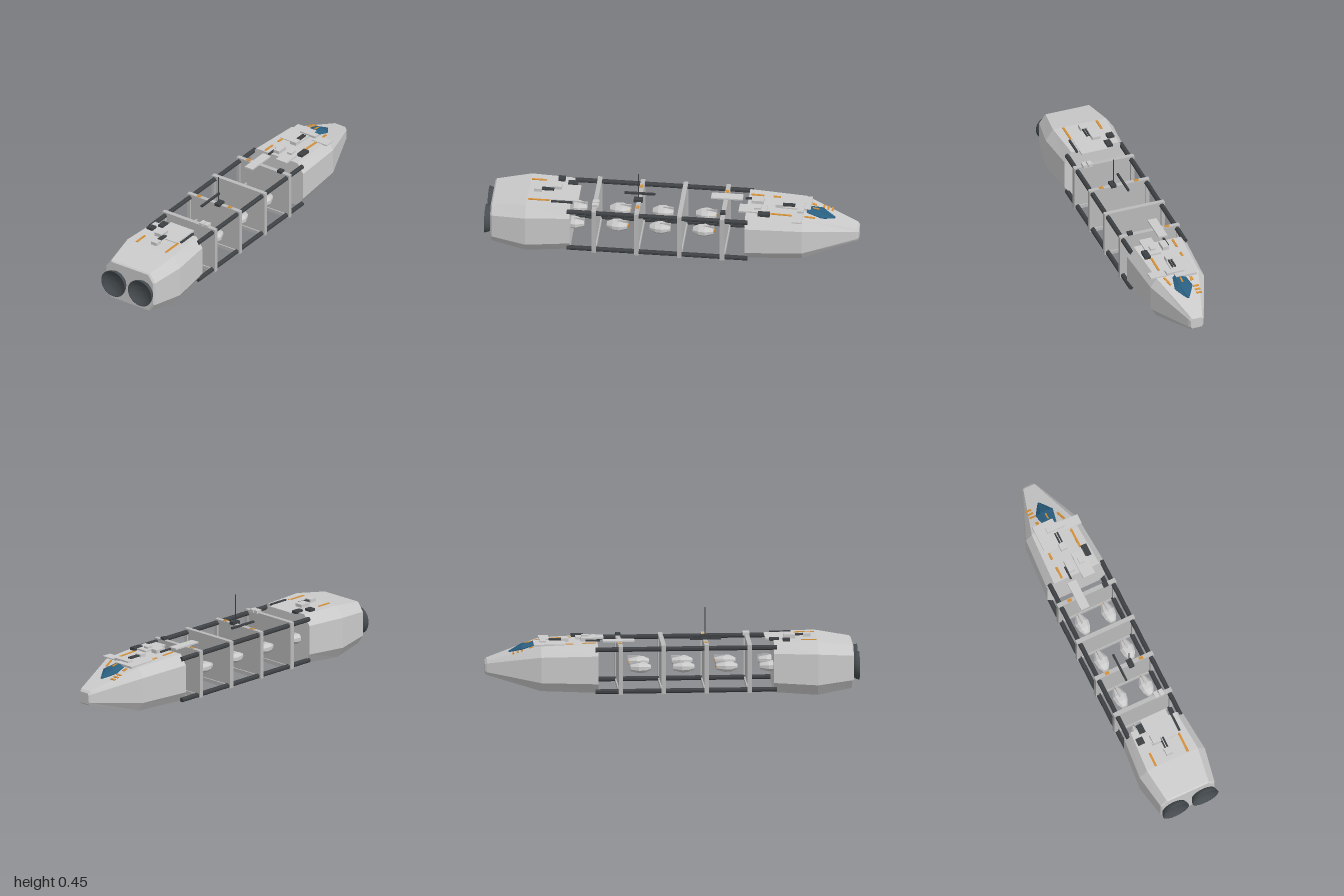
import * as THREE from 'three';

const mat = (name, color, side = THREE.FrontSide) => {
  const m = new THREE.MeshStandardMaterial({ color, flatShading: true, side });
  m.name = name;
  return m;
};

// Loft of chamfered-rectangle sections [z, halfWidth, yBottom, yTop], z increasing
function loft(sections, cx = 0.22, cy = 0.21) {
  const rings = sections.map(([z, w, y0, y1]) => {
    const a = w * (1 - cx), h = (y1 - y0) * cy;
    return [[w, y0 + h], [w, y1 - h], [a, y1], [-a, y1], [-w, y1 - h], [-w, y0 + h], [-a, y0], [a, y0]]
      .map(([x, y]) => [x, y, z]);
  });
  const pos = [];
  const tri = (...p) => p.forEach((v) => pos.push(...v));
  for (let i = 0; i < rings.length - 1; i++) {
    for (let j = 0; j < 8; j++) {
      const k = (j + 1) % 8, r = rings[i], s = rings[i + 1];
      tri(r[j], r[k], s[k]);
      tri(r[j], s[k], s[j]);
    }
  }
  const first = rings[0], last = rings[rings.length - 1];
  for (let j = 1; j < 7; j++) {
    tri(first[0], first[j + 1], first[j]);
    tri(last[0], last[j], last[j + 1]);
  }
  const g = new THREE.BufferGeometry();
  g.setAttribute('position', new THREE.Float32BufferAttribute(pos, 3));
  g.computeVertexNormals();
  return g;
}

export function createModel() {
  const root = new THREE.Group();
  root.name = 'cargoSpaceship';
  const hull = mat('hullGrey', 0xcbcbcb);
  const frame = mat('frameGrey', 0xb9bab9);
  const dark = mat('darkMetal', 0x3e4144);
  const orange = mat('orangePaint', 0xd58f35);
  const glass = mat('canopyBlue', 0x2a5f80);
  const bell = mat('engineDark', 0x474d51, THREE.DoubleSide);
  bell.flatShading = false;

  const add = (name, geo, m, x = 0, y = 0, z = 0, parent = root) => {
    const mesh = new THREE.Mesh(geo, m);
    mesh.name = name;
    mesh.position.set(x, y, z);
    parent.add(mesh);
    return mesh;
  };
  // Box given by its x, y and z ranges
  const span = (name, m, x0, x1, y0, y1, z0, z1, parent = root) =>
    add(name, new THREE.BoxGeometry(x1 - x0, y1 - y0, z1 - z0), m,
      (x0 + x1) / 2, (y0 + y1) / 2, (z0 + z1) / 2, parent);

  // Hull sections
  add('bowHull', loft([
    [-1, 0.035, 0.118, 0.178], [-0.988, 0.043, 0.108, 0.19],
    [-0.705, 0.153, 0.035, 0.275], [-0.4, 0.172, 0.024, 0.286],
  ]), hull);
  add('sternHull', loft([
    [0.54, 0.173, 0.015, 0.29], [0.775, 0.193, 0, 0.29],
    [0.96, 0.16, 0.03, 0.262], [0.968, 0.152, 0.036, 0.255],
  ]), hull);

  // Engine bells, open to the rear with a shallow bowl inside
  const bellProfile = [[0.056, 0], [0.066, 0.005], [0.074, 0.02], [0.077, 0.034], [0.074, 0.034],
    [0.062, 0.024], [0.045, 0.015], [0.025, 0.009], [0, 0.007]].map(([r, h]) => new THREE.Vector2(r, h));
  const bellGeo = new THREE.LatheGeometry(bellProfile, 40);
  bellGeo.rotateX(Math.PI / 2);
  for (const s of [-1, 1]) add('engineBell', bellGeo, bell, s * 0.087, 0.145, 0.966);

  // Long dark truss beams
  const beamGeo = new THREE.CylinderGeometry(0.013, 0.013, 0.97, 8);
  beamGeo.rotateY(Math.PI / 8);
  beamGeo.rotateX(Math.PI / 2);
  for (const x of [-0.154, 0.154]) {
    for (const y of [0.264, 0.035]) add('trussBeam', beamGeo, dark, x, y, 0.07);
  }

  // Cross frames, each closed by a bulkhead
  for (const z of [0.41, 0.18, -0.05, -0.28]) {
    const g = new THREE.Group();
    g.name = 'crossFrame';
    g.position.z = z;
    root.add(g);
    span('bulkhead', frame, -0.15, 0.15, 0.03, 0.27, -0.005, 0.005, g);
    for (const y of [0.274, 0.029]) span('crossBar', frame, -0.166, 0.166, y - 0.01, y + 0.01, -0.012, 0.012, g);
    for (const s of [-1, 1]) {
      span('framePost', frame, s * 0.162 - 0.01, s * 0.162 + 0.01, 0.022, 0.283, -0.012, 0.012, g);
    }
  }

  // Cargo pods in pairs between the bulkheads
  const podGeo = loft([
    [-0.055, 0.02, -0.016, 0.016], [-0.01, 0.038, -0.026, 0.026],
    [0.025, 0.033, -0.024, 0.024], [0.056, 0.016, -0.012, 0.012],
  ], 0.4, 0.3);
  for (const z of [0.525, 0.292, 0.062, -0.17]) {
    for (const s of [-1, 1]) {
      add('cargoPod', podGeo, hull, s * 0.077, 0.147, z);
      span('podSpine', frame, s * 0.077 - 0.004, s * 0.077 + 0.004, 0.14, 0.177, z - 0.058, z);
      if (z === 0.292 || z === -0.17) {
        span('podLamp', orange, s * 0.077 - 0.007, s * 0.077 + 0.007, 0.14, 0.154, z - 0.061, z - 0.055);
      }
    }
  }

  // Cockpit canopy with a small painted line
  add('canopy', loft([
    [-0.87, 0.006, 0.215, 0.232], [-0.8, 0.051, 0.235, 0.268], [-0.72, 0.034, 0.258, 0.284],
  ], 0.55, 0.45), glass);
  const streak = span('canopyStripe', orange, -0.004, 0.004, 0.276, 0.28, -0.785, -0.75);
  streak.rotation.x = -0.2;

  // Deck equipment: [name, material, x0, x1, y0, y1, z0, z1]
  [
    ['bowDeckPlate', hull, -0.1, 0.02, 0.272, 0.284, -0.74, -0.57],
    ['bowCrossPlate', hull, -0.04, 0.06, 0.28, 0.292, -0.706, -0.672],
    ['bowWingPlate', hull, 0.05, 0.15, 0.274, 0.281, -0.705, -0.65],
    ['bowRightPlate', hull, 0.02, 0.09, 0.284, 0.293, -0.51, -0.36],
    ['bowSmallBox', hull, 0.038, 0.066, 0.292, 0.303, -0.478, -0.44],
    ['bowBlock', hull, -0.036, 0, 0.282, 0.303, -0.485, -0.42],
    ['bowDarkBox', dark, 0.085, 0.118, 0.275, 0.297, -0.53, -0.465],
    ['bowDarkRod', dark, -0.046, -0.036, 0.285, 0.294, -0.46, -0.385],
    ['overhangPlate', hull, -0.07, -0.02, 0.285, 0.293, -0.37, -0.2],
    ['sternDeckPlate', hull, -0.06, 0.09, 0.286, 0.294, 0.5, 0.66],
    ['sternDarkBox', dark, -0.095, -0.062, 0.286, 0.3, 0.52, 0.572],
    ['sternDarkBox', dark, -0.13, -0.092, 0.288, 0.303, 0.59, 0.628],
    ['sternBlock', hull, -0.055, -0.008, 0.292, 0.311, 0.6, 0.66],
    ['sternDarkRod', dark, 0.1, 0.112, 0.286, 0.297, 0.53, 0.645],
    ['frameDarkBox', dark, 0.096, 0.124, 0.28, 0.297, -0.292, -0.265],
    ['mastBox', dark, 0.02, 0.05, 0.28, 0.297, 0.16, 0.208],
    ['frameRod', dark, -0.031, -0.02, 0.283, 0.294, 0.1, 0.265],
    ['frameBox', hull, 0.07, 0.094, 0.28, 0.297, 0.388, 0.424],
    ['frameBox', hull, 0.1, 0.124, 0.28, 0.297, 0.388, 0.424],
  ].forEach((p) => span(...p));

  // Antenna mast
  add('antenna', new THREE.CylinderGeometry(0.003, 0.003, 0.155, 8), dark, 0.028, 0.37, 0.183);

  // Twin-barrel turrets facing the bow
  for (const [y, z] of [[0.279, -0.57], [0.288, 0.725]]) {
    const t = new THREE.Group();
    t.name = 'turret';
    t.position.set(0, y, z);
    root.add(t);
    span('turretBase', hull, -0.019, 0.019, 0, 0.02, -0.02, 0.02, t);
    for (const x of [-0.007, 0.007]) span('turretBarrel', dark, x - 0.004, x + 0.004, 0.008, 0.016, -0.085, -0.02, t);
  }

  // Orange markings on the decks: [x, y, z0, z1]; bow deck height follows its slope
  const bowTop = (z) => (z > -0.705 ? 0.286 + (z + 0.4) * 0.036 : 0.275 + (z + 0.705) * 0.3);
  const stripe = (x, z0, z1, w = 0.012) => {
    const bow = z0 < 0, z = (z0 + z1) / 2;
    const m = span('deckStripe', orange, x - w / 2, x + w / 2, -0.002, 0.002, z0, z1);
    m.position.y = bow ? bowTop(z) + 0.001 : 0.291;
    m.rotation.x = bow ? (z < -0.705 ? -0.29 : -0.036) : 0;
    return m;
  };
  stripe(-0.083, -0.575, -0.53);
  stripe(-0.083, -0.48, -0.41);
  stripe(0.083, -0.645, -0.53);
  stripe(0.07, -0.77, -0.71).rotation.y = 0.3;
  stripe(-0.062, -0.765, -0.74, 0.016);
  for (const z of [-0.855, -0.832, -0.809]) stripe(-0.069, z, z + 0.011, 0.032);
  stripe(-0.095, 0.69, 0.77);
  stripe(0.095, 0.655, 0.77);

  // Orange lamps on two of the cross bars
  for (const [x, z] of [[-0.1, -0.28], [-0.1, 0.18], [0.1, 0.18]]) {
    span('barMarking', orange, x - 0.012, x + 0.012, 0.282, 0.287, z - 0.008, z + 0.008);
  }
  return root;
}
